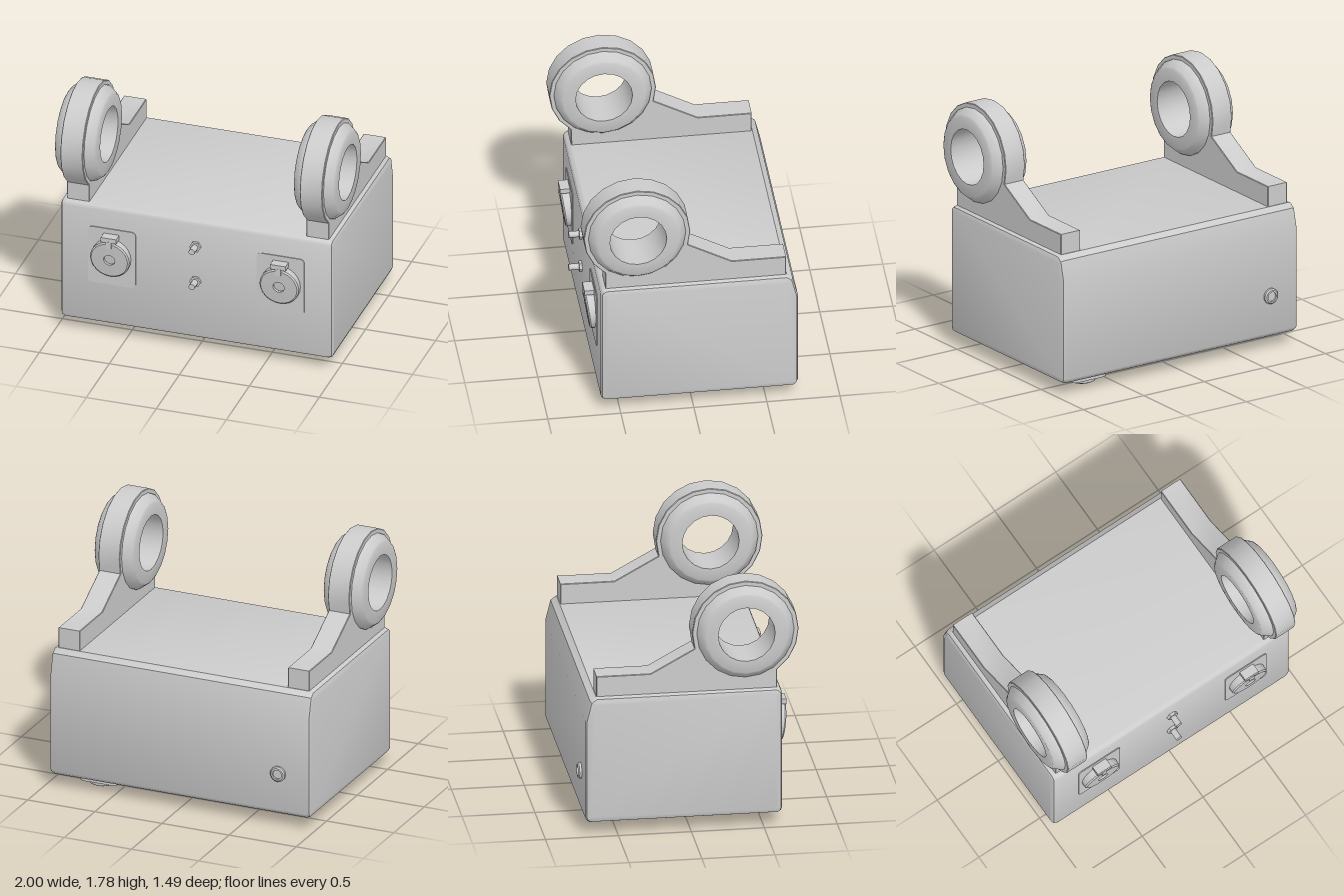
import * as THREE from 'three';
import { toCreasedNormals } from 'three/addons/utils/BufferGeometryUtils.js';

const material = new THREE.MeshStandardMaterial({ color: 0xcccccc });
const V = (x, y) => new THREE.Vector2(x, y);

function add(parent, name, geometry, x = 0, y = 0, z = 0) {
  const mesh = new THREE.Mesh(toCreasedNormals(geometry, 0.6), material);
  mesh.name = name;
  mesh.position.set(x, y, z);
  parent.add(mesh);
  return mesh;
}

// Points along an arc, end points included
function arc(cx, cy, r, from, to, steps) {
  return Array.from({ length: steps + 1 }, (_, i) => {
    const a = from + (to - from) * i / steps;
    return V(cx + r * Math.cos(a), cy + r * Math.sin(a));
  });
}

// Side profile given in (z, y), extruded across x and centred, with bevelled ends
function extrudeX(shape, width, bevel, segments = 1) {
  const depth = width - 2 * bevel;
  const g = new THREE.ExtrudeGeometry(shape, {
    depth, bevelThickness: bevel, bevelSize: bevel, bevelOffset: -bevel, bevelSegments: segments,
  });
  g.translate(0, 0, -depth / 2);
  return g.rotateY(-Math.PI / 2);
}

// Thin slab with rounded corners, its outline in the xy plane
function roundedPlate(w, h, r, depth) {
  const x = w / 2 - r, y = h / 2 - r, q = Math.PI / 2;
  const pts = [[x, y], [-x, y], [-x, -y], [x, -y]]
    .flatMap(([cx, cy], i) => arc(cx, cy, r, i * q, (i + 1) * q, 4));
  return new THREE.ExtrudeGeometry(new THREE.Shape(pts), { depth, bevelEnabled: false });
}

// Lifting lug: bracket plate with a thick bevelled eye
function makeLug(side) {
  const lug = new THREE.Group();
  lug.name = side > 0 ? 'leftLug' : 'rightLug';
  const cz = 0.38, cy = 1.42;
  const plate = new THREE.Shape([
    V(-0.64, 0.98), V(0.595, 0.98),
    ...arc(cz, cy, 0.365, -0.933, Math.PI + 0.305, 14),
    V(-0.27, 1.145), V(-0.64, 1.145),
  ]);
  plate.holes.push(new THREE.Path(arc(cz, cy, 0.25, 0, -Math.PI * 2, 20).slice(0, -1)));
  add(lug, 'lugPlate', extrudeX(plate, 0.16, 0.004), side * 0.855);
  const ring = [
    V(0.195, -0.147), V(0.28, -0.147), V(0.295, -0.138), V(0.332, -0.09), V(0.335, -0.075),
    V(0.335, 0.075), V(0.332, 0.09), V(0.295, 0.138), V(0.28, 0.147), V(0.195, 0.147), V(0.195, -0.147),
  ];
  add(lug, 'lugEye', new THREE.LatheGeometry(ring, 20).rotateZ(Math.PI / 2), side * 0.853, cy, cz);
  return lug;
}

// Socket with a hinged cap whose face leans outward at the top
function makeSocket(side) {
  const socket = new THREE.Group();
  socket.name = side > 0 ? 'leftSocket' : 'rightSocket';
  const x = side * 0.605;
  add(socket, 'socketPlate', roundedPlate(0.34, 0.43, 0.03, 0.016), side * 0.602, 0.62, 0.62);
  const cap = new THREE.LatheGeometry([
    V(0.14, 0), V(0.14, 0.043), V(0.13, 0.053), V(0.04, 0.055), V(0.04, 0.035), V(0, 0.035),
  ], 24).rotateX(Math.PI / 2);
  const p = cap.attributes.position;
  for (let i = 0; i < p.count; i++) {
    if (p.getZ(i) > 0.01) p.setZ(i, p.getZ(i) + p.getY(i) * 0.13);
  }
  add(socket, 'socketCap', cap, x, 0.62, 0.63);
  add(socket, 'capHinge', new THREE.BoxGeometry(0.11, 0.035, 0.075), x, 0.78, 0.665);
  add(socket, 'capHingeNeck', new THREE.BoxGeometry(0.04, 0.05, 0.072), x, 0.745, 0.668);
  return socket;
}

function makeFoot(parent, r, x, top, z) {
  const foot = new THREE.LatheGeometry([
    V(0, -0.033), V(r - 0.02, -0.033), V(r - 0.004, -0.025), V(r, -0.015), V(r, 0),
  ], 20);
  add(parent, 'foot', foot, x, top, z);
}

export function createModel() {
  const model = new THREE.Group();
  model.name = 'liftingBox';

  // Housing with rounded edges and a sloped upper rear edge
  const profile = new THREE.Shape([
    V(-0.69, 0.09), V(0.6, 0.09), V(0.622, 0.103), V(0.63, 0.125), V(0.63, 0.965), V(0.62, 0.985),
    V(0.595, 1), V(-0.645, 1), V(-0.685, 0.97), V(-0.72, 0.83), V(-0.72, 0.125), V(-0.71, 0.105),
  ]);
  add(model, 'housing', extrudeX(profile, 1.945, 0.035, 2), -0.002);

  for (const side of [-1, 1]) {
    model.add(makeLug(side));
    model.add(makeSocket(side));
  }

  // Threaded studs with hex nuts
  for (const y of [0.805, 0.535]) {
    add(model, 'studNut', new THREE.CylinderGeometry(0.04, 0.04, 0.025, 6)
      .rotateY(Math.PI / 6).rotateX(Math.PI / 2), -0.005, y, 0.637);
    add(model, 'stud', new THREE.CylinderGeometry(0.022, 0.022, 0.1, 12)
      .rotateX(Math.PI / 2), -0.005, y, 0.67);
  }

  // Rear vent plug with a recessed centre
  const plug = new THREE.LatheGeometry([
    V(0.055, -0.01), V(0.055, 0.015), V(0.045, 0.024), V(0.033, 0.024), V(0.033, 0.012), V(0, 0.012),
  ], 18).rotateX(-Math.PI / 2);
  add(model, 'ventPlug', plug, -0.74, 0.39, -0.72);

  // Underside panel, raised strip and feet
  const flat = (w, d, h) => roundedPlate(w, d, 0.05, h).rotateX(Math.PI / 2);
  add(model, 'basePanel', flat(1.62, 1.01, 0.04), 0, 0.1, -0.1);
  add(model, 'baseStrip', flat(0.29, 1.01, 0.035), 0.662, 0.07, -0.1);
  for (const z of [0.3, -0.09, -0.495]) {
    makeFoot(model, 0.1, 0.665, 0.036, z);
    for (const x of [-0.37, -0.7]) makeFoot(model, 0.08, x, 0.067, z);
  }
  return model;
}
